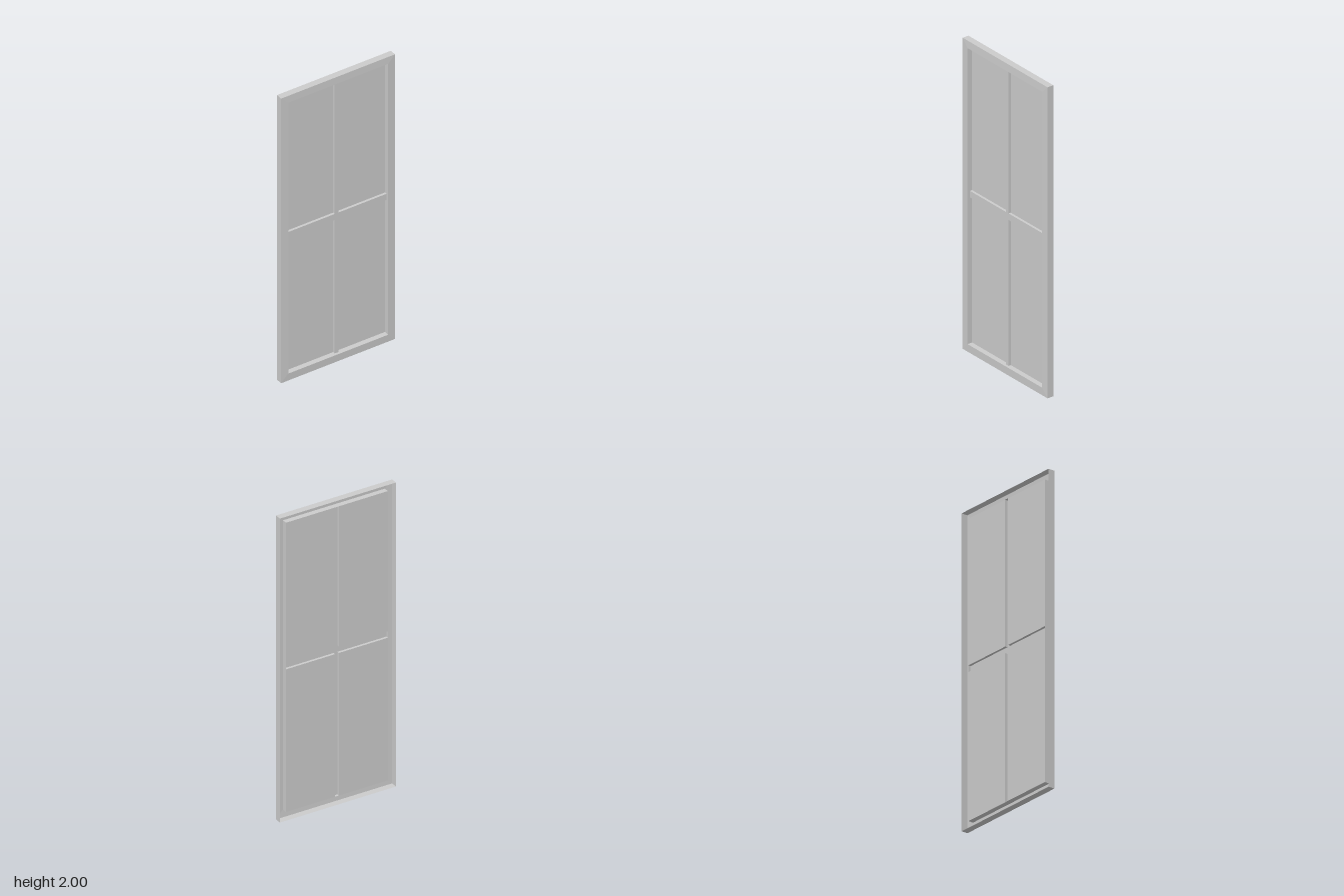
import * as THREE from 'three';

const material = new THREE.MeshStandardMaterial({ color: 0xcccccc, side: THREE.DoubleSide, flatShading: true });

// Main dimensions: sheet edges, opening, glazing bar edges and depths
const W = 0.39, H = 2;
const open = { x0: -0.342, x1: 0.342, y0: 0.05, y1: 1.953 };
const bar = { x0: -0.013, x1: 0.013, y0: 0.988, y1: 1.03 };
const backZ = -0.022, outerZ = 0.02, innerZ = 0.022, barZ = 0.005, paneZ = -0.011;

// Corners of a rectangle, counter-clockwise from the front
const rect = (x0, y0, x1, y1, z) => [[x0, y0, z], [x1, y0, z], [x1, y1, z], [x0, y1, z]];

// Flat-sided strip joining consecutive sections; closed sections wrap round
function loft(sections, closed) {
  const pos = [];
  for (let s = 0; s < sections.length - 1; s++) {
    const a = sections[s], b = sections[s + 1], n = a.length;
    for (let i = 0; i < (closed ? n : n - 1); i++) {
      const j = (i + 1) % n;
      pos.push(...a[i], ...a[j], ...b[j], ...a[i], ...b[j], ...b[i]);
    }
  }
  const geo = new THREE.BufferGeometry();
  geo.setAttribute('position', new THREE.Float32BufferAttribute(pos, 3));
  geo.computeVertexNormals();
  return geo;
}

export function createModel() {
  const group = new THREE.Group();
  const add = (name, geo) => {
    const mesh = new THREE.Mesh(geo, material);
    mesh.name = name;
    group.add(mesh);
    return mesh;
  };

  // Hollow-backed frame: outer edge, slightly sloped face, inner reveal
  add('frame', loft([
    rect(-W, 0, W, H, backZ),
    rect(-W, 0, W, H, outerZ),
    rect(open.x0, open.y0, open.x1, open.y1, innerZ),
    rect(open.x0, open.y0, open.x1, open.y1, paneZ),
  ], true));

  // Face of the crossed glazing bars, set back from the frame face
  const cross = new THREE.Shape([
    [bar.x0, open.y0], [bar.x1, open.y0], [bar.x1, bar.y0], [open.x1, bar.y0],
    [open.x1, bar.y1], [bar.x1, bar.y1], [bar.x1, open.y1], [bar.x0, open.y1],
    [bar.x0, bar.y1], [open.x0, bar.y1], [open.x0, bar.y0], [bar.x0, bar.y0],
  ].map(([x, y]) => new THREE.Vector2(x, y)));
  add('glazingBarFace', new THREE.ShapeGeometry(cross)).position.z = barZ;

  // Four panes, each with the bar sides that border it
  for (const sx of ['0', '1']) {
    for (const sy of ['0', '1']) {
      const ox = open['x' + sx], bx = bar['x' + sx];
      const oy = open['y' + sy], by = bar['y' + sy];
      const place = (sx === '0' ? 'Right' : 'Left') + (sy === '0' ? 'Lower' : 'Upper');

      const pane = add('pane' + place, new THREE.PlaneGeometry(Math.abs(ox - bx), Math.abs(oy - by)));
      pane.position.set((ox + bx) / 2, (oy + by) / 2, paneZ);

      const path = z => [[ox, by, z], [bx, by, z], [bx, oy, z]];
      // Keep the sides facing the pane
      const ends = sx === sy ? [barZ, paneZ] : [paneZ, barZ];
      add('barSides' + place, loft(ends.map(path), false));
    }
  }
  return group;
}
